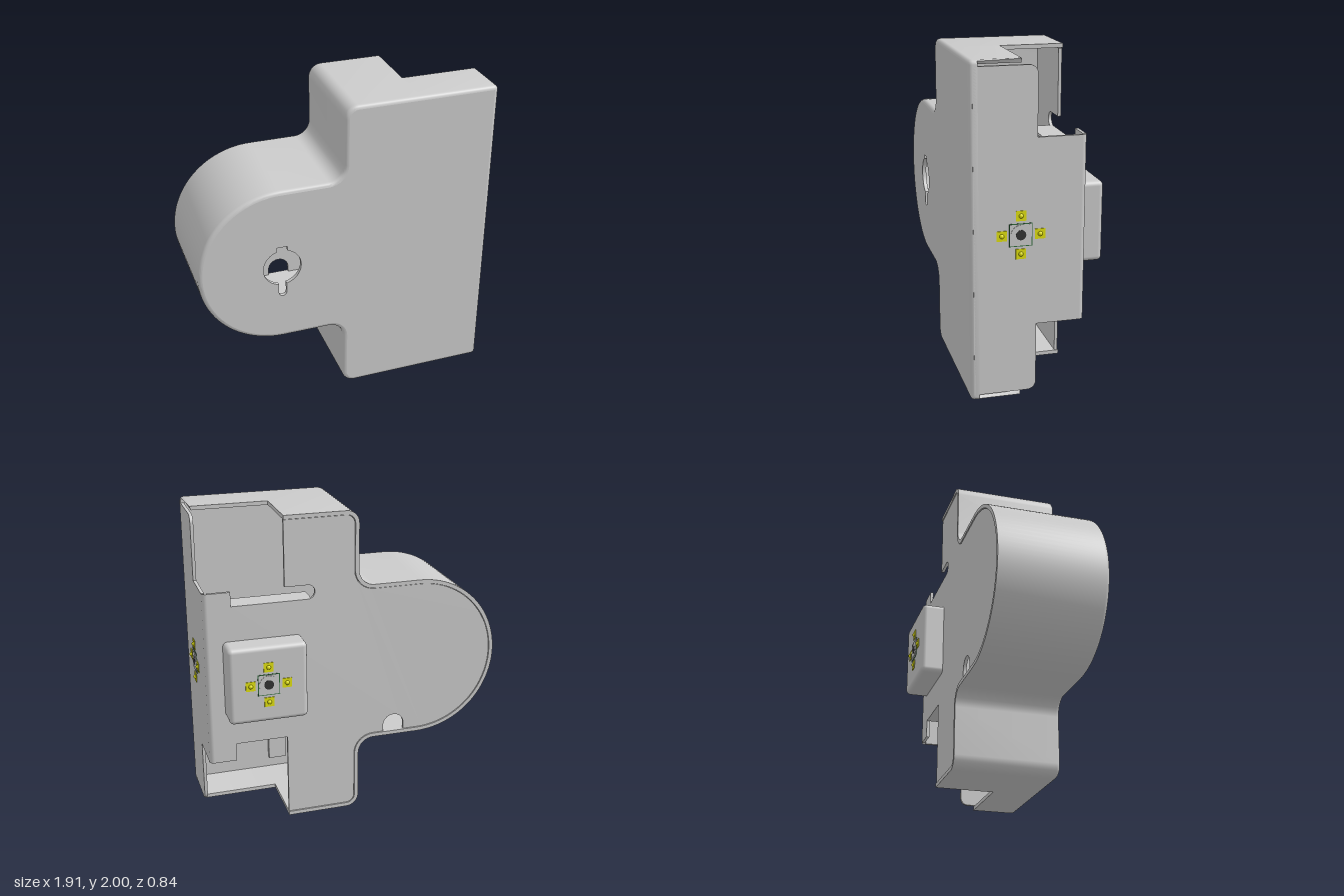
import * as THREE from 'three';
import { toCreasedNormals } from 'three/addons/utils/BufferGeometryUtils.js';
import { RoundedBoxGeometry } from 'three/addons/geometries/RoundedBoxGeometry.js';

const mat = (color) => new THREE.MeshStandardMaterial({ color, side: THREE.DoubleSide });
const grey = mat(0xcccccc), yellow = mat(0xe0e010), dark = mat(0x333333), green = mat(0x2f6b3a);
const V = (x, y) => new THREE.Vector2(x, y);

function add(parent, name, geometry, material = grey, x = 0, y = 0, z = 0) {
  const mesh = new THREE.Mesh(geometry, material);
  mesh.name = name;
  mesh.position.set(x, y, z);
  parent.add(mesh);
  return mesh;
}

// Points on an arc, angles in degrees
function arc(cx, cy, r, a0, a1, n) {
  return Array.from({ length: n + 1 }, (_, i) => {
    const a = THREE.MathUtils.degToRad(a0 + (a1 - a0) * i / n);
    return V(cx + r * Math.cos(a), cy + r * Math.sin(a));
  });
}

const CUT = 0.44; // left limit of the open rear corners

// Housing outline, counter-clockwise from the lower right corner
function outline() {
  return [
    ...arc(0.915, 0.025, 0.025, -90, 0, 4),
    ...arc(0.915, 1.975, 0.025, 0, 90, 4),
    V(CUT + 0.0005, 2), V(CUT, 2),
    ...arc(0.05, 1.92, 0.08, 90, 180, 8),
    ...arc(-0.13, 1.625, 0.1, 0, -90, 8),
    ...arc(-0.43, 1.005, 0.52, 90, 270, 48),
    ...arc(-0.13, 0.385, 0.1, 90, 0, 8),
    ...arc(0.05, 0.08, 0.08, 180, 270, 8),
    V(CUT, 0), V(CUT + 0.0005, 0),
  ];
}

// Moves every outline point inwards along its mitred normal
function inset(pts, d) {
  const n = pts.length;
  return pts.map((p, i) => {
    const a = p.clone().sub(pts[(i + n - 1) % n]).normalize();
    const b = pts[(i + 1) % n].clone().sub(p).normalize();
    const m = V(-a.y - b.y, a.x + b.x).normalize();
    return p.clone().addScaledVector(m, d / Math.max(0.5, m.dot(V(-a.y, a.x))));
  });
}

// Sweeps the wall section, with its rounded front edge, around the outline
function wallGeometry() {
  const pts = outline(), n = pts.length, r = 0.025, front = 0.41;
  const back = (p) => (p.x > 0.93 ? 0.36 : p.x > CUT + 0.0001 ? 0.11 : -0.275);
  const section = [[0, null], [0, front - r]];
  for (let i = 1; i <= 4; i++) {
    const a = i * Math.PI / 8;
    section.push([r * (1 - Math.cos(a)), front - r + r * Math.sin(a)]);
  }
  section.push([r, front - r], [r, null], [0, null]);
  const pos = [], index = [];
  section.forEach(([d, z], j) => {
    inset(pts, d).forEach((p, i) => pos.push(p.x, p.y, z ?? back(pts[i])));
    if (j === 0) return;
    for (let i = 0; i < n; i++) {
      const k = (i + 1) % n, a = (j - 1) * n, b = j * n;
      index.push(a + i, a + k, b + k, a + i, b + k, b + i);
    }
  });
  const g = new THREE.BufferGeometry();
  g.setAttribute('position', new THREE.Float32BufferAttribute(pos, 3));
  g.setIndex(index);
  return toCreasedNormals(g, 0.6);
}

function extrude(pts, depth, holes = []) {
  const shape = new THREE.Shape(pts);
  shape.holes = holes.map((h) => new THREE.Path(h));
  return toCreasedNormals(new THREE.ExtrudeGeometry(shape, { depth, bevelEnabled: false }), 0.6);
}

// Round hole with a short key above and a long rounded slot below
function keyHole() {
  const x = -0.43, y = 1;
  return [
    ...arc(x, y, 0.12, -78, 73, 20),
    V(x + 0.035, y + 0.145), V(x - 0.035, y + 0.145),
    ...arc(x, y, 0.12, 107, 258, 20),
    ...arc(x, y - 0.18, 0.025, 180, 360, 8),
  ];
}

// Rear cover with open corners, a rounded slot and a small cable arch
function coverPoints() {
  const pts = inset(outline(), 0.028);
  const upper = pts.filter((p) => p.x < CUT + 0.0001 && p.y > 1.005);
  const lower = pts.filter((p) => p.x < CUT + 0.0001 && p.y <= 1.005);
  const archAt = lower.findIndex((p) => p.x > -0.3 && p.y > 0.4);
  lower.splice(archAt, 0, V(-0.34, 0.513), ...arc(-0.27, 0.555, 0.07, 180, 0, 10), V(-0.2, 0.513));
  return [
    V(0.91, 0.45), V(0.91, 1.56), V(0.77, 1.56), V(0.77, 1.47),
    ...arc(0.295, 1.515, 0.045, 270, 90, 10),
    V(CUT, 1.56), ...upper, ...lower,
    V(CUT, 0.565), V(0.77, 0.565), V(0.77, 0.45),
  ];
}

// Camera with four small lamps around it, facing +z
function sensor(name) {
  const g = new THREE.Group();
  g.name = name;
  const turned = (r, h) => new THREE.CylinderGeometry(r, r, h, 24).rotateX(Math.PI / 2);
  add(g, 'sensorBoard', new THREE.BoxGeometry(0.136, 0.136, 0.004), green);
  add(g, 'sensorBody', new THREE.BoxGeometry(0.126, 0.126, 0.007));
  add(g, 'lensBarrel', turned(0.06, 0.012));
  add(g, 'lens', turned(0.03, 0.014), dark);
  for (let i = 0; i < 4; i++) {
    const a = i * Math.PI / 2, x = 0.113 * Math.cos(a), y = 0.113 * Math.sin(a);
    add(g, 'lampBase', new THREE.BoxGeometry(0.06, 0.06, 0.008), yellow, x, y);
    add(g, 'lampDome', new THREE.SphereGeometry(0.014, 12, 8), yellow, x, y, 0.003);
  }
  return g;
}

export function createModel() {
  const model = new THREE.Group();
  model.name = 'housing';

  // Front shell
  add(model, 'shellWall', wallGeometry());
  add(model, 'frontPlate', extrude(inset(outline(), 0.025), 0.025, [keyHole()]), grey, 0, 0, 0.385);

  // Rear cover with its rounded corner and side panel
  add(model, 'rearCover', extrude(coverPoints(), 0.02), grey, 0, 0, -0.27);
  add(model, 'coverCorner',
    new THREE.CylinderGeometry(0.03, 0.03, 1.11, 8, 1, true, Math.PI / 2, Math.PI / 2),
    grey, 0.91, 1.005, -0.24);
  const side = [
    V(-0.39, 0.035), ...arc(-0.07, 0.085, 0.05, -90, 0, 6), V(-0.02, 0.45), V(0.24, 0.45),
    V(0.24, 1.56), V(-0.02, 1.56), ...arc(-0.07, 1.915, 0.05, 0, 90, 6), V(-0.39, 1.965),
  ];
  add(model, 'sidePanel', extrude(side, 0.02).rotateY(Math.PI / 2), grey, 0.92, 0, 0);

  // Ledges behind the cover slots
  add(model, 'upperLedge', new THREE.BoxGeometry(0.5, 0.015, 0.145), grey, 0.52, 1.4625, -0.1925);
  add(model, 'lowerLedge', new THREE.BoxGeometry(0.33, 0.015, 0.145), grey, 0.605, 0.5725, -0.1925);

  // Inner mounting strip with two holes
  const strip = [V(0.3, 0.1), V(0.42, 0.1), V(0.42, 0.75), V(0.3, 0.75)];
  add(model, 'mountingStrip',
    extrude(strip, 0.03, [0.28, 0.56].map((y) => arc(0.36, y, 0.035, 0, 345, 23))), grey, 0, 0, 0.355);

  // Rear box and the two sensors
  add(model, 'rearBox', new RoundedBoxGeometry(0.49, 0.49, 0.18, 4, 0.03), grey, 0.585, 1.005, -0.325);
  const rear = sensor('rearSensor');
  rear.position.set(0.585, 1.005, -0.415);
  rear.rotation.y = Math.PI;
  const flank = sensor('sideSensor');
  flank.position.set(0.94, 1, 0.115);
  flank.rotation.y = Math.PI / 2;
  model.add(rear, flank);

  return model;
}
